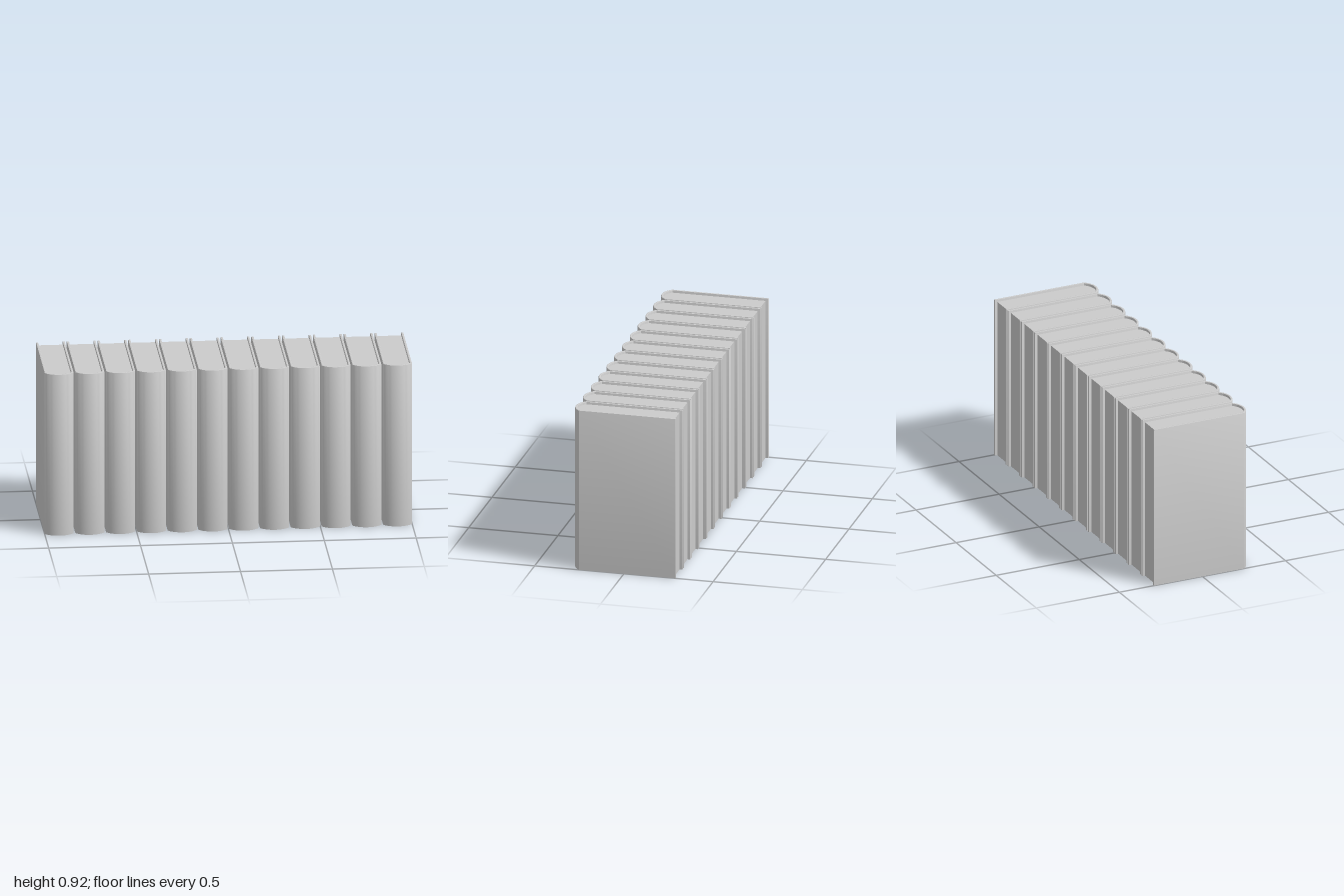
import * as THREE from 'three';
import { toCreasedNormals } from 'three/addons/utils/BufferGeometryUtils.js';

const COUNT = 12, WIDTH = 0.158, HEIGHT = 0.918;
const BOARD = 0.013;            // cover thickness
const BACK = -0.29, JOINT = 0.252, FRONT = 0.29;
const HALF = WIDTH / 2, INNER = HALF - BOARD;

// circle through both spine joints and the middle of the spine
const SAG = FRONT - JOINT;
const RADIUS = (HALF * HALF + SAG * SAG) / (2 * SAG);
const CENTRE = FRONT - RADIUS;

// points of the rounded spine from -x to +x, as (x, -z)
function spineArc(radius, half) {
  const a = Math.asin(half / radius), points = [];
  for (let i = 0; i <= 16; i++) {
    const t = -a + (2 * a * i) / 16;
    points.push(new THREE.Vector2(radius * Math.sin(t), -CENTRE - radius * Math.cos(t)));
  }
  return points;
}

// U-shaped cover, softened along its top edge and flat at the bottom
function coverGeometry() {
  const shape = new THREE.Shape([
    new THREE.Vector2(-HALF, -BACK),
    ...spineArc(RADIUS, HALF),
    new THREE.Vector2(HALF, -BACK),
    new THREE.Vector2(INNER, -BACK),
    ...spineArc(RADIUS - BOARD, INNER).reverse(),
    new THREE.Vector2(-INNER, -BACK),
  ]);
  const bevel = 0.004;
  const geo = new THREE.ExtrudeGeometry(shape, {
    depth: HEIGHT - bevel, bevelEnabled: true, bevelSegments: 2,
    bevelSize: bevel, bevelThickness: bevel, bevelOffset: -bevel,
  });
  geo.rotateX(-Math.PI / 2);
  const p = geo.attributes.position;
  for (let i = 0; i < p.count; i++) p.setY(i, Math.max(0, p.getY(i)));
  return toCreasedNormals(geo, 0.45);
}

export function createModel() {
  const group = new THREE.Group();
  group.name = 'bookRow';
  const grey = new THREE.MeshStandardMaterial({ color: 0xcccccc });
  const sheet = new THREE.MeshStandardMaterial({ color: 0xcccccc, side: THREE.DoubleSide });

  const cover = coverGeometry();

  // pages: a thin top and rear face, open underneath
  const pageTop = HEIGHT - 0.014, pageBack = -0.275;
  const top = new THREE.ShapeGeometry(new THREE.Shape([
    new THREE.Vector2(-INNER, -pageBack),
    ...spineArc(RADIUS - BOARD, INNER),
    new THREE.Vector2(INNER, -pageBack),
  ])).rotateX(-Math.PI / 2).translate(0, pageTop, 0);
  const rear = new THREE.PlaneGeometry(2 * INNER, pageTop)
    .rotateY(Math.PI).translate(0, pageTop / 2, pageBack);

  const pitch = (2 - WIDTH) / (COUNT - 1);
  for (let i = 0; i < COUNT; i++) {
    const book = new THREE.Group();
    book.name = 'book' + (i + 1);
    const parts = [['cover', cover, grey], ['pagesTop', top, sheet], ['pagesRear', rear, sheet]];
    for (const [name, geo, mat] of parts) {
      const mesh = new THREE.Mesh(geo, mat);
      mesh.name = name;
      book.add(mesh);
    }
    book.position.x = -1 + HALF + i * pitch;
    group.add(book);
  }
  return group;
}
